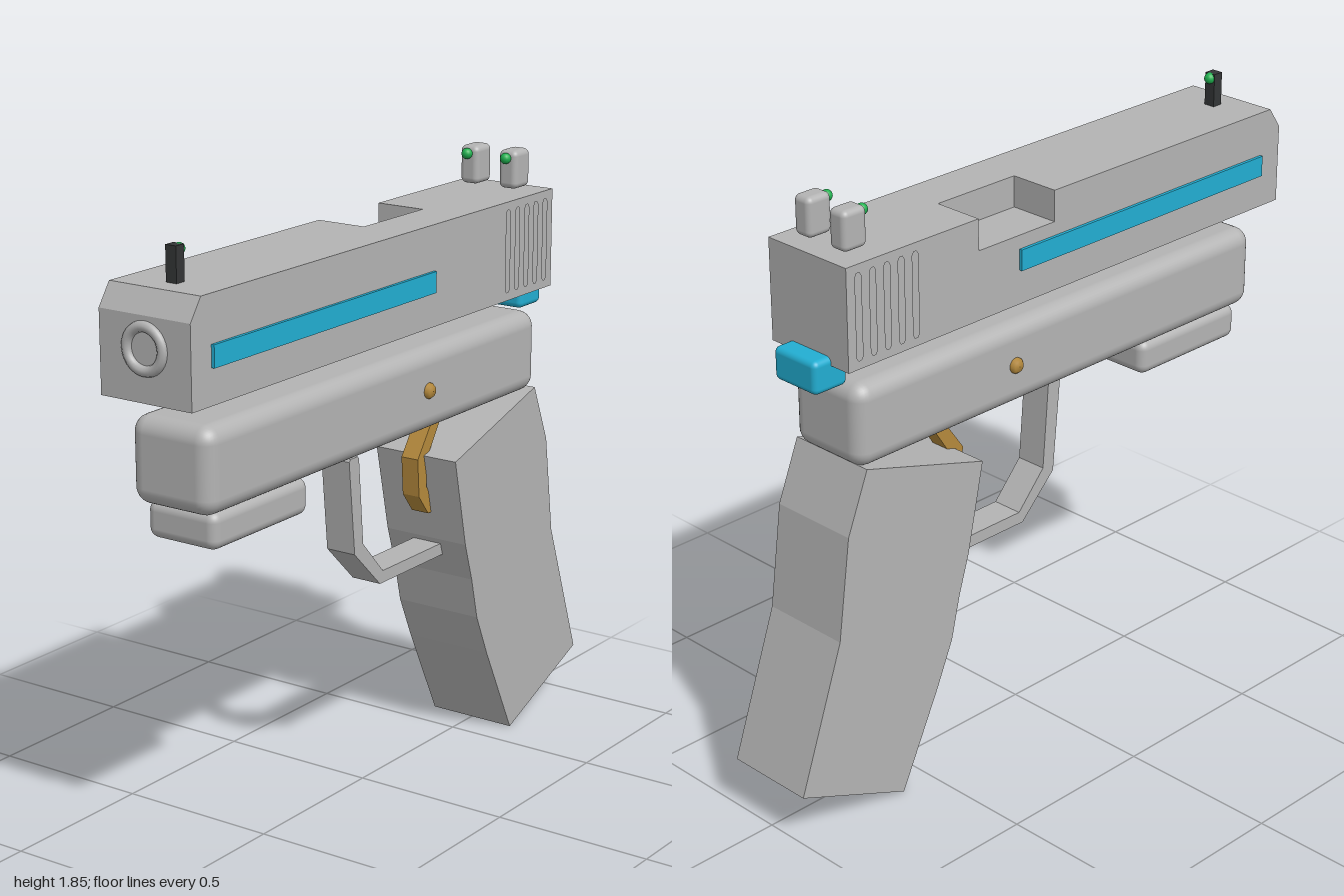
import * as THREE from 'three';
import { RoundedBoxGeometry } from 'three/addons/geometries/RoundedBoxGeometry.js';

const material = (name, color) => {
  const m = new THREE.MeshStandardMaterial({ color });
  m.name = name;
  return m;
};

export function createModel() {
  const model = new THREE.Group();
  model.name = 'toyBlaster';
  const grey = material('grey', 0xb3b3b3);
  const cyan = material('cyan', 0x22aed2);
  const gold = material('gold', 0xb4893c);
  const green = material('green', 0x1fb04f);
  const dark = material('dark', 0x333536);

  const add = (name, geometry, mat, x = 0, y = 0, z = 0) => {
    const mesh = new THREE.Mesh(geometry, mat);
    mesh.name = name;
    mesh.position.set(x, y, z);
    model.add(mesh);
    return mesh;
  };
  // side profile of [z, y] points, extruded from x0 to x1
  const toPoints = (pts) => pts.map(([z, y]) => new THREE.Vector2(-z, y));
  const profile = (pts, x0, x1, holes = []) => {
    const shape = new THREE.Shape(toPoints(pts));
    holes.forEach((h) => shape.holes.push(new THREE.Path(toPoints(h))));
    return new THREE.ExtrudeGeometry(shape, { depth: x1 - x0, bevelEnabled: false })
      .rotateY(Math.PI / 2).translate(x0, 0, 0);
  };
  // rounded box given by its y and z limits
  const rounded = (name, mat, w, y0, y1, z0, z1, r, x = 0) =>
    add(name, new RoundedBoxGeometry(w, y1 - y0, z1 - z0, 4, r), mat, x, (y0 + y1) / 2, (z0 + z1) / 2);

  // slide: a full left half, a right half with the port cut out, grooved skins
  const front = [[-0.79, 1.42], [0.985, 1.42], [0.985, 1.66], [0.94, 1.725]];
  const full = [...front, [-0.79, 1.725]];
  const cut = [...front, [0, 1.725], [0, 1.63], [-0.3, 1.63], [-0.3, 1.725], [-0.79, 1.725]];
  const grooves = [-0.54, -0.592, -0.644, -0.696, -0.748].map((z) => [
    [z - 0.011, 1.455], [z - 0.005, 1.445], [z + 0.005, 1.445], [z + 0.011, 1.455],
    [z + 0.011, 1.69], [z + 0.005, 1.7], [z - 0.005, 1.7], [z - 0.011, 1.69],
  ]);
  add('slideLeft', profile(full, 0.005, 0.145), grey);
  add('slideRight', profile(cut, -0.145, 0.005), grey);
  add('slideSkinLeft', profile(full, 0.145, 0.155, grooves), grey);
  add('slideSkinRight', profile(cut, -0.155, -0.145, grooves), grey);

  // muzzle ring
  add('muzzleRing', new THREE.TorusGeometry(0.061, 0.016, 10, 36), grey, 0, 1.57, 0.984);

  // side stripes and frame pins
  const pin = [[0, 0], [0.024, 0], [0.024, 0.02], [0.017, 0.03], [0, 0.032]]
    .map(([r, h]) => new THREE.Vector2(r, h));
  for (const s of [1, -1]) {
    const side = s > 0 ? 'Left' : 'Right';
    add('stripe' + side, new THREE.BoxGeometry(0.012, 0.064, 1.04), cyan, s * 0.159, 1.556, 0.38);
    const p = add('pin' + side, new THREE.LatheGeometry(pin, 20), gold, s * 0.125, 1.225, -0.14);
    p.rotation.z = -s * Math.PI / 2;
  }

  // frame, under-barrel block and rear block
  rounded('frame', grey, 0.28, 1.095, 1.35, -0.745, 0.9, 0.05);
  rounded('underBlock', grey, 0.24, 0.99, 1.1, 0.425, 0.855, 0.03);
  rounded('rearBlock', cyan, 0.17, 1.345, 1.445, -0.85, -0.73, 0.018);

  // guard, trigger and grip
  add('triggerGuard', profile([
    [0.13, 1.064], [0.137, 1.056], [0.11, 0.765], [-0.02, 0.637], [-0.37, 0.637],
    [-0.37, 0.675], [-0.035, 0.675], [0.067, 0.787], [0.088, 1.056], [0.094, 1.064],
  ].reverse(), -0.05, 0.05), grey);
  add('trigger', profile([
    [-0.33, 1.082], [-0.378, 1.082], [-0.298, 0.96], [-0.295, 0.87],
    [-0.345, 0.78], [-0.305, 0.78], [-0.255, 0.845], [-0.247, 0.965],
  ], -0.03, 0.03), gold);
  add('grip', profile([
    [-0.28, 0.97], [-0.725, 1.105], [-0.8, 0.92], [-0.843, 0.605], [-1, 0.16],
    [-0.613, 0], [-0.47, 0.295], [-0.41, 0.433], [-0.378, 0.567], [-0.34, 0.69],
  ], -0.145, 0.145), grey);

  // sights with dots
  const dot = new THREE.SphereGeometry(0.017, 16, 12);
  add('frontSight', new THREE.BoxGeometry(0.036, 0.11, 0.034), dark, 0, 1.772, 0.853);
  add('frontSightDot', dot, green, 0, 1.812, 0.835);
  for (const s of [1, -1]) {
    const side = s > 0 ? 'Left' : 'Right';
    rounded('rearSight' + side, grey, 0.065, 1.735, 1.853, -0.745, -0.66, 0.018, s * 0.07);
    add('rearSightDot' + side, dot, green, s * 0.07, 1.83, -0.652);
  }
  return model;
}
